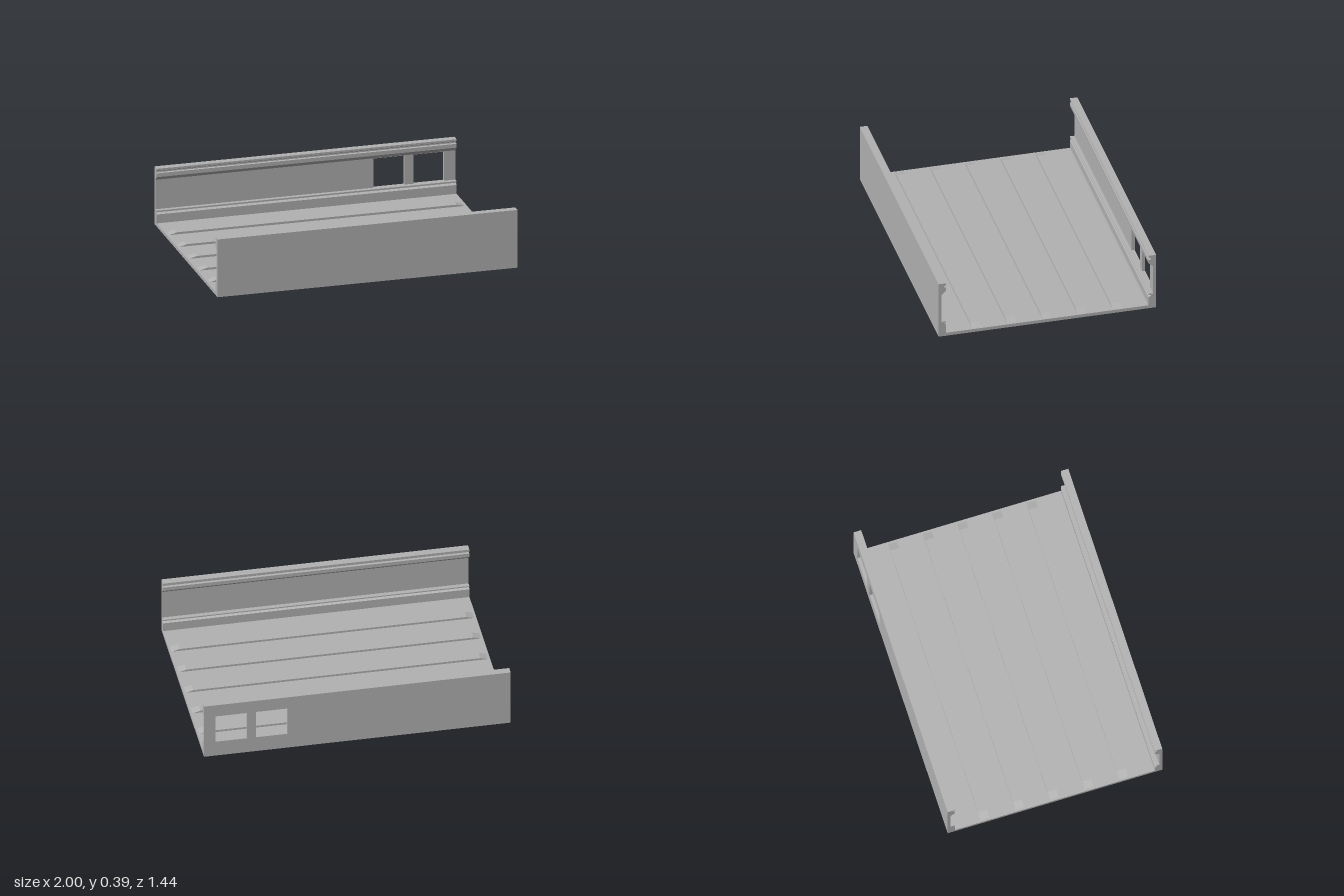
import * as THREE from 'three';

const LENGTH = 2, HEIGHT = 0.393, OUTER = 0.72, INNER = 0.7, FLOOR = 0.022;

// Extrude a closed (z, y) outline along x, centred on x = 0
function extrudeAlongX(points, length) {
  const shape = new THREE.Shape(points.map(([z, y]) => new THREE.Vector2(-z, y)));
  return new THREE.ExtrudeGeometry(shape, { depth: length, bevelEnabled: false })
    .translate(0, 0, -length / 2)
    .rotateY(Math.PI / 2);
}

function rectangle(Type, x0, y0, x1, y1) {
  return new Type([[x0, y0], [x1, y0], [x1, y1], [x0, y1]].map(([x, y]) => new THREE.Vector2(x, y)));
}

export function createModel() {
  const model = new THREE.Group();
  model.name = 'channelTray';
  const metal = new THREE.MeshStandardMaterial({ color: 0xb2b2b2 });
  metal.name = 'greyMetal';

  const add = (parent, name, geometry) => {
    const mesh = new THREE.Mesh(geometry, metal);
    mesh.name = name;
    parent.add(mesh);
    return mesh;
  };

  // Floor plate
  add(model, 'floor', new THREE.BoxGeometry(LENGTH, FLOOR, INNER * 2).translate(0, FLOOR / 2, 0));

  // Raised floor strips with shallow ramps at both ends
  const stripShape = new THREE.Shape([
    [-0.985, FLOOR], [0.985, FLOOR], [0.935, 0.036], [-0.935, 0.036],
  ].map(([x, y]) => new THREE.Vector2(x, y)));
  const stripGeometry = new THREE.ExtrudeGeometry(stripShape, { depth: 0.06, bevelEnabled: false })
    .translate(0, 0, -0.03);
  for (let i = -2; i <= 2; i++) {
    add(model, 'floorStrip', stripGeometry).position.z = i * 0.2325;
  }

  // Grooved rails on the inside of each wall
  const upperRail = extrudeAlongX([
    [INNER, HEIGHT], [INNER, 0.308], [0.67, 0.336], [0.67, 0.362],
    [0.685, 0.364], [0.685, 0.372], [0.67, 0.38], [0.67, HEIGHT],
  ], LENGTH);
  const lowerRail = extrudeAlongX([
    [INNER, 0.108], [INNER, FLOOR], [0.67, FLOOR], [0.67, 0.082],
    [0.685, 0.092], [0.685, 0.098], [0.67, 0.1], [0.67, 0.108],
  ], LENGTH);

  // Side wall: flat panel, optional windows and two rails
  function buildWall(name, windows) {
    const wall = new THREE.Group();
    wall.name = name;
    const panel = rectangle(THREE.Shape, -LENGTH / 2, 0, LENGTH / 2, HEIGHT);
    for (const [x0, x1] of windows) panel.holes.push(rectangle(THREE.Path, x0, 0.108, x1, 0.306));
    add(wall, 'wallPanel', new THREE.ExtrudeGeometry(panel, { depth: OUTER - INNER, bevelEnabled: false })
      .translate(0, 0, INNER));
    add(wall, 'upperRail', upperRail);
    add(wall, 'lowerRail', lowerRail);
    model.add(wall);
    return wall;
  }

  buildWall('frontWall', []);
  buildWall('backWall', [[-0.925, -0.72], [-0.66, -0.455]]).rotation.y = Math.PI;

  return model;
}
